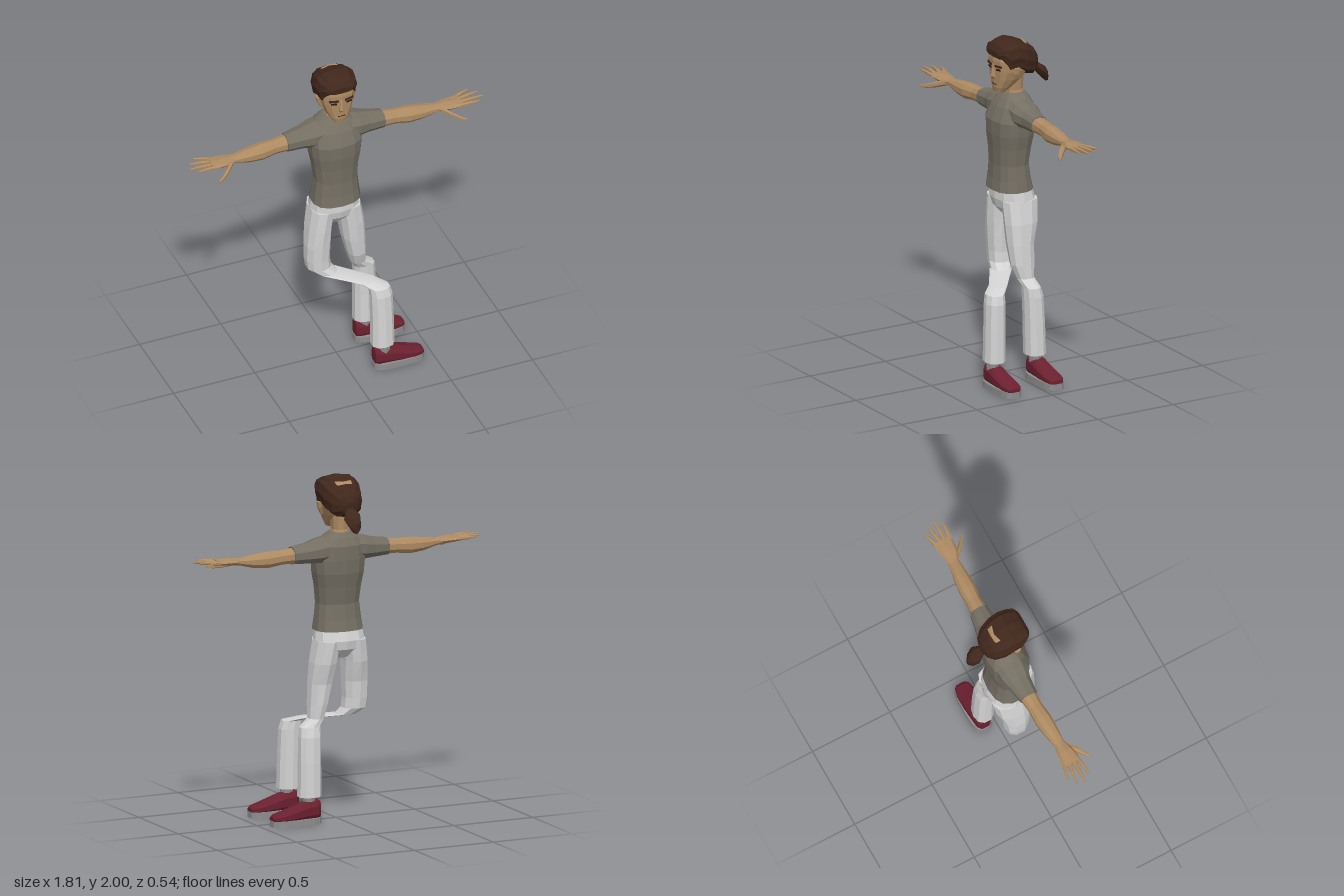
import * as THREE from 'three';

const mat = (name, color) => {
  const m = new THREE.MeshStandardMaterial({ color, flatShading: true });
  m.name = name;
  return m;
};

// Ring axes [u, v, w] with u x v = w; w is the loft direction.
const AXES = { x: [1, 2, 0], y: [2, 0, 1], z: [0, 1, 2] };

// Capped loft through sections [x, y, z, halfU, halfV].
// e < 1 makes the rings boxier; ridge pulls every other point inwards.
function loft(axis, sections, sides = 10, e = 0.85, ridge = 1) {
  const [u, v, w] = AXES[axis];
  const pos = [], idx = [];
  const flip = sections[sections.length - 1][w] < sections[0][w];
  const pow = (t) => Math.sign(t) * Math.pow(Math.abs(t), e);
  const tri = (a, b, c) => (flip ? idx.push(a, c, b) : idx.push(a, b, c));
  for (const s of sections) {
    for (let j = 0; j < sides; j++) {
      const a = (j / sides) * Math.PI * 2;
      const k = j % 2 ? ridge : 1;
      const p = s.slice(0, 3);
      p[u] += s[3] * pow(Math.cos(a)) * k;
      p[v] += s[4] * pow(Math.sin(a)) * k;
      pos.push(...p);
    }
  }
  for (let i = 0; i < sections.length - 1; i++) {
    for (let j = 0; j < sides; j++) {
      const a = i * sides + j, b = i * sides + (j + 1) % sides;
      tri(a, b, b + sides);
      tri(a, b + sides, a + sides);
    }
  }
  const n = sections.length * sides, top = n - sides;
  pos.push(...sections[0].slice(0, 3), ...sections[sections.length - 1].slice(0, 3));
  for (let j = 0; j < sides; j++) {
    const k = (j + 1) % sides;
    tri(n, k, j);
    tri(n + 1, top + j, top + k);
  }
  const g = new THREE.BufferGeometry();
  g.setAttribute('position', new THREE.Float32BufferAttribute(pos, 3));
  g.setIndex(idx);
  g.computeVertexNormals();
  return g;
}

export function createModel() {
  const model = new THREE.Group();
  model.name = 'figure';
  const skin = mat('skin', 0xae8b62), shirt = mat('shirt', 0x756f63);
  const cloth = mat('trousers', 0xd4d4d4), red = mat('shoe red', 0x6c2030);
  const grey = mat('sole grey', 0x8b8b8b), hair = mat('hair brown', 0x40271c);
  const dark = mat('eye dark', 0x2a1a14);

  const add = (name, geometry, material, parent = model) => {
    const mesh = new THREE.Mesh(geometry, material);
    mesh.name = name;
    parent.add(mesh);
    return mesh;
  };
  const group = (name) => {
    const g = new THREE.Group();
    g.name = name;
    model.add(g);
    return g;
  };
  const mirror = (s, sections) => sections.map(([x, ...r]) => [x * s, ...r]);

  // Head, neck and nose
  const head = group('head');
  add('skull', loft('y', [
    [0, 1.69, 0.048, 0.027, 0.036], [0, 1.72, 0.03, 0.052, 0.056],
    [0, 1.77, 0, 0.084, 0.082], [0, 1.82, -0.018, 0.104, 0.099],
    [0, 1.88, -0.025, 0.115, 0.106], [0, 1.93, -0.03, 0.113, 0.096],
    [0, 1.97, -0.03, 0.08, 0.065]], 12, 0.7), skin, head);
  add('neck', loft('y', [
    [0, 1.64, -0.055, 0.06, 0.06], [0, 1.69, -0.047, 0.053, 0.047],
    [0, 1.8, -0.045, 0.06, 0.055]]), skin, head);
  add('nose', loft('y', [
    [0, 1.768, 0.08, 0.008, 0.014], [0, 1.785, 0.084, 0.02, 0.018],
    [0, 1.86, 0.084, 0.006, 0.008]], 6, 1), skin, head);
  add('mouth', new THREE.BoxGeometry(0.045, 0.004, 0.006), dark, head)
    .position.set(0, 1.738, 0.08);

  for (const s of [1, -1]) {
    const plate = (name, w, h, y, z, m) => {
      const p = add(name, new THREE.BoxGeometry(w, h, 0.009), m, head);
      p.position.set(0.046 * s, y, z);
      p.rotation.set(0, 0.17 * s, 0.06 * s);
    };
    plate('eyebrow', 0.055, 0.012, 1.851, 0.081, hair);
    plate('eye', 0.034, 0.01, 1.831, 0.079, dark);
    add('ear', loft('y', mirror(s, [
      [0.09, 1.775, 0, 0.008, 0.01], [0.104, 1.81, -0.004, 0.018, 0.012],
      [0.108, 1.845, -0.006, 0.022, 0.014]]), 6), skin, head);
  }

  // Swept-back hair with front-to-back ridges, and the tied tail
  add('hair', loft('z', [
    [0, 1.845, -0.188, 0.02, 0.02], [0, 1.848, -0.175, 0.06, 0.052],
    [0, 1.858, -0.14, 0.098, 0.088], [0, 1.882, -0.08, 0.119, 0.1],
    [0, 1.908, -0.02, 0.122, 0.092], [0, 1.9, 0.03, 0.117, 0.09],
    [0, 1.93, 0.07, 0.1, 0.042], [0, 1.922, 0.092, 0.066, 0.018]],
  24, 0.72, 0.95), hair, head);
  add('hairTail', loft('z', [
    [0, 1.725, -0.272, 0.012, 0.03], [0, 1.745, -0.25, 0.04, 0.045],
    [0, 1.775, -0.215, 0.055, 0.038], [0, 1.808, -0.185, 0.032, 0.026],
    [0, 1.83, -0.15, 0.03, 0.03]], 10, 0.9, 0.9), hair, head);

  // Shirt body
  add('shirtBody', loft('y', [
    [0, 1.105, -0.02, 0.12, 0.146], [0, 1.17, -0.018, 0.108, 0.137],
    [0, 1.26, -0.015, 0.1, 0.127], [0, 1.36, -0.02, 0.11, 0.137],
    [0, 1.44, -0.024, 0.122, 0.152], [0, 1.52, -0.026, 0.124, 0.158],
    [0, 1.6, -0.042, 0.106, 0.145], [0, 1.645, -0.047, 0.082, 0.105],
    [0, 1.675, -0.05, 0.06, 0.062]], 14, 0.8), shirt);

  // Arms held out to the sides
  for (const s of [1, -1]) {
    const arm = group(s > 0 ? 'leftArm' : 'rightArm');
    add('sleeve', loft('x', mirror(s, [
      [0.07, 1.58, -0.042, 0.075, 0.09], [0.14, 1.57, -0.042, 0.072, 0.088],
      [0.2, 1.562, -0.042, 0.061, 0.07], [0.3, 1.556, -0.036, 0.051, 0.055]])), shirt, arm);
    add('forearm', loft('x', mirror(s, [
      [0.29, 1.555, -0.036, 0.046, 0.05], [0.37, 1.55, -0.033, 0.042, 0.043],
      [0.45, 1.544, -0.028, 0.048, 0.05], [0.53, 1.543, -0.024, 0.04, 0.045],
      [0.62, 1.548, -0.018, 0.022, 0.033], [0.66, 1.55, -0.016, 0.02, 0.035]])), skin, arm);
    add('palm', loft('x', mirror(s, [
      [0.63, 1.55, -0.017, 0.019, 0.034], [0.69, 1.553, -0.012, 0.021, 0.05],
      [0.77, 1.557, -0.014, 0.014, 0.058]]), 8), skin, arm);
    // Fingers: root z, tip x, tip z
    for (const [z0, x1, z1] of [[0.03, 0.865, 0.042], [0.002, 0.903, 0.002],
      [-0.026, 0.885, -0.045], [-0.052, 0.845, -0.083]]) {
      add('finger', loft('x', mirror(s, [
        [0.75, 1.556, z0, 0.012, 0.014],
        [(0.75 + x1) / 2, 1.561, (z0 + z1) / 2, 0.011, 0.011],
        [x1, 1.564, z1, 0.005, 0.005]]), 6), skin, arm);
    }
    add('thumb', loft('x', mirror(s, [
      [0.64, 1.545, 0.0, 0.018, 0.022], [0.69, 1.525, 0.052, 0.017, 0.02],
      [0.73, 1.512, 0.085, 0.012, 0.014], [0.765, 1.506, 0.108, 0.006, 0.007]]), 6), skin, arm);
  }

  // Trousers: hips, then each leg from hem to hip with its shin swung to the left
  add('hips', loft('y', [
    [0, 0.945, -0.035, 0.055, 0.045], [0, 1.0, -0.038, 0.105, 0.142],
    [0, 1.05, -0.036, 0.116, 0.149], [0, 1.12, -0.028, 0.105, 0.138]], 12), cloth);
  add('leftTrouserLeg', loft('y', [
    [0.2, 0.155, -0.065, 0.06, 0.069], [0.198, 0.35, -0.062, 0.058, 0.067],
    [0.194, 0.5, -0.056, 0.056, 0.066], [0.188, 0.555, -0.048, 0.05, 0.064],
    [0.145, 0.6, -0.035, 0.052, 0.046], [0.13, 0.68, -0.025, 0.072, 0.056],
    [0.112, 0.8, -0.022, 0.082, 0.068], [0.1, 0.92, -0.033, 0.102, 0.072],
    [0.08, 1.05, -0.038, 0.112, 0.07]]), cloth);
  add('rightTrouserLeg', loft('y', [
    [0.2, 0.155, 0.203, 0.06, 0.069], [0.198, 0.35, 0.2, 0.058, 0.067],
    [0.194, 0.5, 0.196, 0.056, 0.066], [0.185, 0.55, 0.19, 0.05, 0.062],
    [0.13, 0.572, 0.135, 0.048, 0.055], [-0.06, 0.602, 0.0, 0.06, 0.06],
    [-0.103, 0.64, -0.02, 0.07, 0.072], [-0.11, 0.7, -0.022, 0.074, 0.073],
    [-0.108, 0.8, -0.022, 0.082, 0.075], [-0.098, 0.92, -0.033, 0.102, 0.072],
    [-0.08, 1.05, -0.038, 0.112, 0.07]]), cloth);

  // Shoes with toes towards the left
  for (const [name, z] of [['leftShoe', -0.075], ['rightShoe', 0.208]]) {
    const shoe = group(name);
    add('sock', new THREE.CylinderGeometry(0.038, 0.038, 0.1, 8), grey, shoe)
      .position.set(0.204, 0.13, z + 0.008);
    add('upper', loft('x', [
      [0.145, 0.08, z, 0.052, 0.032], [0.165, 0.08, z, 0.06, 0.046],
      [0.235, 0.076, z, 0.056, 0.052], [0.3, 0.064, z, 0.045, 0.056],
      [0.38, 0.052, z, 0.029, 0.056], [0.425, 0.048, z, 0.022, 0.046],
      [0.442, 0.044, z, 0.014, 0.03]], 10, 0.75), red, shoe);
    add('sole', loft('y', [
      [0.292, 0, z, 0.062, 0.155], [0.292, 0.036, z, 0.06, 0.153]], 14, 0.6), grey, shoe);
  }
  return model;
}
